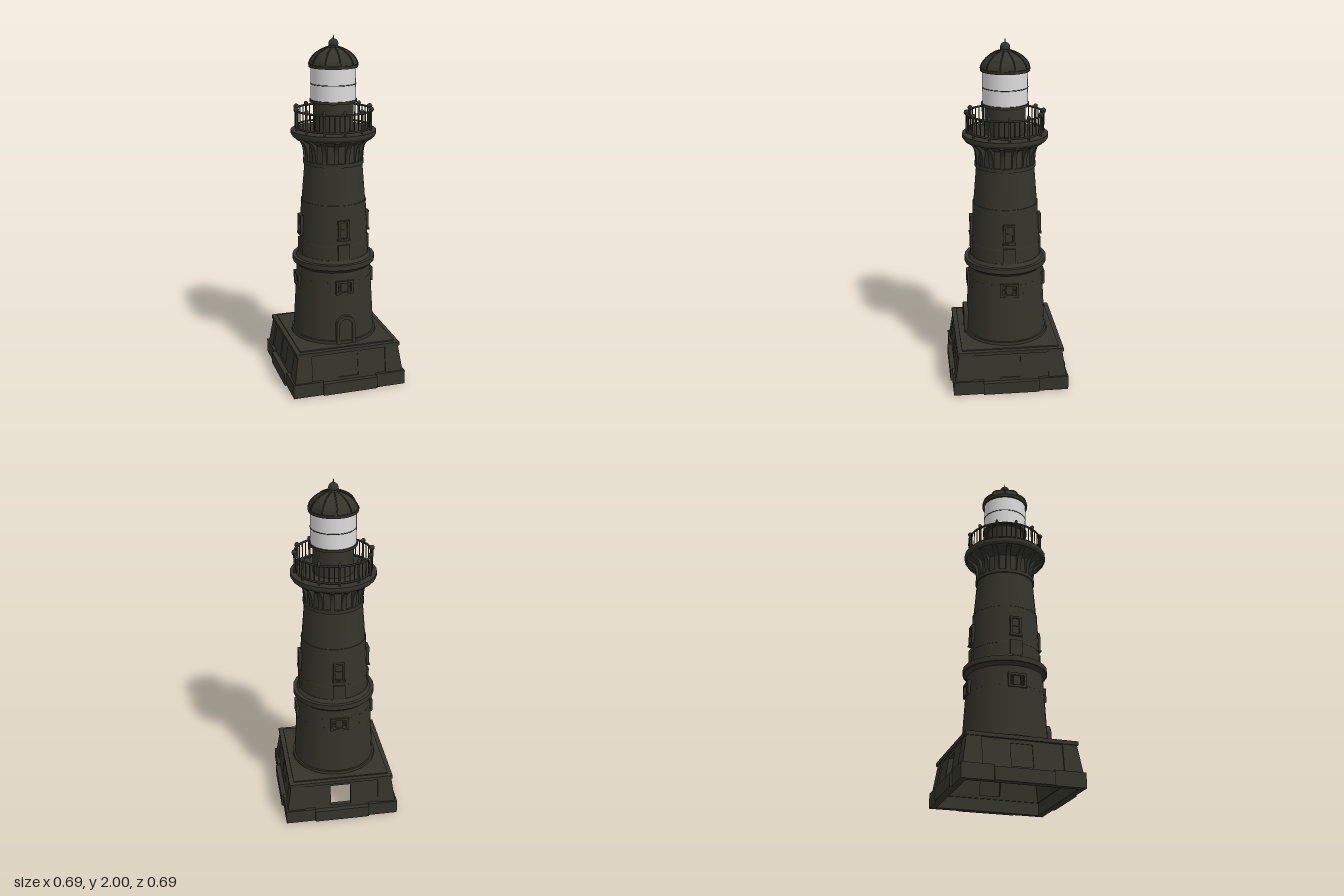
import * as THREE from 'three';

export function createModel() {
  const root = new THREE.Group();
  root.name = 'lighthouse';
  const stone = new THREE.MeshStandardMaterial({ color: 0x34342b, side: THREE.DoubleSide });
  stone.name = 'dark stone';
  const stoneFront = new THREE.MeshStandardMaterial({ color: 0x34342b });
  stoneFront.name = 'dark stone, outside only';
  const flatStone = new THREE.MeshStandardMaterial({ color: 0x34342b, flatShading: true });
  flatStone.name = 'dark stone, faceted';
  const glass = new THREE.MeshStandardMaterial({ color: 0xdcdcdc });
  glass.name = 'pale lantern glass';

  const add = (name, geo, mat = stone, parent = root) => {
    const m = new THREE.Mesh(geo, mat);
    m.name = name;
    parent.add(m);
    return m;
  };
  // box given by its bounds
  const box = (name, x0, x1, y0, y1, z0, z1, parent = root) => {
    const m = add(name, new THREE.BoxGeometry(x1 - x0, y1 - y0, z1 - z0), stoneFront, parent);
    m.position.set((x0 + x1) / 2, (y0 + y1) / 2, (z0 + z1) / 2);
    return m;
  };
  // round course from y0 to y1
  const drum = (name, r0, r1, y0, y1, mat = stoneFront, open = false, seg = 32) => {
    const m = add(name, new THREE.CylinderGeometry(r1, r0, y1 - y0, seg, 1, open), mat);
    m.position.y = (y0 + y1) / 2;
    return m;
  };
  const spin = (name, angle) => {
    const g = new THREE.Group();
    g.name = name;
    g.rotation.y = angle;
    root.add(g);
    return g;
  };
  // leans a flat panel back along the sloped base wall
  const lean = (geo, offset) => {
    const p = geo.attributes.position;
    for (let i = 0; i < p.count; i++) p.setZ(i, p.getZ(i) + offset - (p.getY(i) - 0.07) * 0.15);
    geo.computeVertexNormals();
    return geo;
  };
  const poly = (pts) => new THREE.Shape(pts.map(([x, y]) => new THREE.Vector2(x, y)));
  const extrude = (shape, depth) => new THREE.ExtrudeGeometry(shape, { depth, bevelEnabled: false, curveSegments: 10 });

  // Hollow square base, open underneath, with one open doorway at the back
  for (let i = 0; i < 4; i++) {
    const side = spin('baseSide', i * Math.PI / 2);
    const wall = poly([[-0.32, 0.07], [0.32, 0.07], [0.295, 0.237], [-0.295, 0.237]]);
    wall.holes.push(poly([[-0.065, 0.088], [-0.065, 0.215], [0.055, 0.215], [0.055, 0.088]]));
    add('baseWall', lean(extrude(wall, 0.025), 0.293), stoneFront, side);
    for (const s of [-1, 1]) {
      const pier = poly([[s * 0.22, 0.07], [s * 0.325, 0.07], [s * 0.3, 0.237], [s * 0.22, 0.237]]);
      add('cornerPier', lean(extrude(pier, 0.01), 0.316), stoneFront, side);
      box('plinthCorner', Math.min(s * 0.16, s * 0.335), Math.max(s * 0.16, s * 0.335), 0, 0.083, 0.3, 0.335, side);
    }
    box('plinthMiddle', -0.162, 0.162, 0, 0.072, 0.3, 0.346, side);
    if (i !== 2) {
      const panel = new THREE.PlaneGeometry(0.124, 0.132).translate(-0.005, 0.1515, 0);
      add('basePanel', lean(panel, 0.312), i === 0 ? stoneFront : stone, side);
    }
  }
  box('baseSlab', -0.308, 0.308, 0.235, 0.256, -0.308, 0.308);
  box('baseTop', -0.282, 0.282, 0.25, 0.263, -0.282, 0.282);

  // Tower shaft, with a band of four arcs that leaves the lower windows open
  const shaftRadius = (y) => 0.24 - (y - 0.27) * 0.058;
  drum('footRing', 0.252, 0.25, 0.26, 0.28);
  drum('lowerShaft', shaftRadius(0.28), shaftRadius(0.57), 0.28, 0.57, stone, true);
  const gap = 0.18;
  for (let i = 0; i < 4; i++) {
    const band = [[shaftRadius(0.57), 0.57], [shaftRadius(0.625), 0.625]].map(([x, y]) => new THREE.Vector2(x, y));
    add('windowBand', new THREE.LatheGeometry(band, 8, i * Math.PI / 2 + gap, Math.PI / 2 - 2 * gap));
  }
  drum('middleShaft', shaftRadius(0.625), shaftRadius(0.705), 0.625, 0.705, stone, true);
  drum('beltCove', 0.216, 0.234, 0.685, 0.707, stoneFront, true);
  drum('beltRing', 0.24, 0.24, 0.705, 0.735, stoneFront, false, 24);
  drum('beltStep', 0.218, 0.205, 0.735, 0.755);
  drum('upperShaft', 0.203, 0.187, 0.735, 1.07, stone, true);
  drum('topShaft', 0.184, 0.165, 1.07, 1.3, stone, true);
  drum('courseRing', 0.2, 0.198, 0.83, 0.842);
  drum('courseRing', 0.189, 0.188, 1.06, 1.072);
  drum('neckRing', 0.174, 0.174, 1.285, 1.307);
  drum('neck', 0.162, 0.158, 1.3, 1.45);

  // Windows on four sides
  for (let i = 0; i < 4; i++) {
    const g = spin('windowSide', i * Math.PI / 2);
    const frame = (name, w, y0, y1, t, z0, z1) => {
      const s = poly([[-w, y0], [w, y0], [w, y1], [-w, y1]]);
      s.holes.push(poly([[-w + t, y0 + t], [-w + t, y1 - t], [w - t, y1 - t], [w - t, y0 + t]]));
      add(name, extrude(s, z1 - z0), stoneFront, g).position.z = z0;
    };
    frame('lowerWindowFrame', 0.052, 0.557, 0.638, 0.013, 0.2, 0.229);
    box('lowerWindowMullion', -0.02, 0.02, 0.565, 0.63, 0.205, 0.218, g);
    box('lowerWindowBar', -0.045, 0.045, 0.594, 0.6, 0.207, 0.216, g);
    frame('upperWindowFrame', 0.032, 0.875, 0.988, 0.011, 0.18, 0.207);
    box('upperWindowPane', -0.024, 0.024, 0.885, 0.98, 0.17, 0.197, g);
    box('upperWindowBar', -0.024, 0.024, 0.93, 0.937, 0.18, 0.202, g);
    box('upperWindowSill', -0.037, 0.037, 0.87, 0.88, 0.18, 0.211, g);
    box('reliefPlate', -0.034, 0.036, 0.755, 0.845, 0.18, 0.206, g);
  }

  // Arched front door
  const arch = (w, top) => {
    const s = new THREE.Shape();
    s.moveTo(-w, 0.262);
    s.lineTo(w, 0.262);
    s.lineTo(w, top - w);
    s.absarc(0, top - w, w, 0, Math.PI, false);
    s.closePath();
    return s;
  };
  const surround = arch(0.056, 0.432);
  surround.holes.push(arch(0.038, 0.412));
  add('doorSurround', extrude(surround, 0.05), stoneFront).position.z = 0.203;
  add('door', extrude(arch(0.04, 0.414), 0.035), stoneFront).position.z = 0.208;

  // Curved brackets under the gallery
  const bracket = new THREE.Shape();
  bracket.moveTo(0.15, 1.3);
  bracket.lineTo(0.17, 1.3);
  bracket.bezierCurveTo(0.172, 1.385, 0.18, 1.41, 0.225, 1.432);
  bracket.lineTo(0.225, 1.445);
  bracket.lineTo(0.15, 1.445);
  bracket.closePath();
  const bracketGeo = extrude(bracket, 0.026).translate(0, 0, -0.013);
  for (let i = 0; i < 16; i++) add('bracket', bracketGeo, stoneFront).rotation.y = (i + 0.5) * Math.PI / 8;
  drum('galleryCove', 0.165, 0.225, 1.405, 1.445);
  drum('gallerySlab', 0.234, 0.243, 1.44, 1.455, stoneFront, false, 24);
  drum('galleryFloor', 0.243, 0.243, 1.455, 1.475, stoneFront, false, 24);

  // Railing: twelve round-headed posts, rails and thin balusters
  for (const y of [1.492, 1.588]) {
    const rail = add('rail', new THREE.TorusGeometry(0.216, 0.006, 6, 36), stoneFront);
    rail.rotation.x = Math.PI / 2;
    rail.position.y = y;
  }
  const postGeo = new THREE.CylinderGeometry(0.0065, 0.0065, 0.115, 8);
  const headGeo = new THREE.SphereGeometry(0.016, 10, 8);
  const balusterGeo = new THREE.CylinderGeometry(0.0032, 0.0032, 0.1, 6);
  for (let i = 0; i < 48; i++) {
    const g = spin('railing', i * Math.PI / 24);
    if (i % 4 === 0) {
      add('post', postGeo, stoneFront, g).position.set(0, 1.53, 0.216);
      const head = add('postHead', headGeo, stoneFront, g);
      head.position.set(0, 1.595, 0.216);
      head.scale.x = 0.55;
    } else add('baluster', balusterGeo, stoneFront, g).position.set(0, 1.54, 0.216);
  }

  // Lantern room
  drum('lanternBase', 0.116, 0.114, 1.475, 1.635);
  drum('lanternSill', 0.134, 0.134, 1.632, 1.647);
  drum('lanternGlass', 0.127, 0.127, 1.645, 1.83, glass);
  const band = add('glazingBar', new THREE.TorusGeometry(0.127, 0.0025, 5, 36), stoneFront);
  band.rotation.x = Math.PI / 2;
  band.position.y = 1.735;

  // Ribbed dome, ball and spike
  drum('roofRim', 0.137, 0.14, 1.825, 1.842);
  const domePts = [[0.137, 1.84], [0.129, 1.865], [0.108, 1.893], [0.08, 1.914], [0.045, 1.931], [0.022, 1.937]];
  add('dome', new THREE.LatheGeometry(domePts.map(([x, y]) => new THREE.Vector2(x, y)), 10), flatStone);
  const ribPath = new THREE.CatmullRomCurve3(domePts.map(([x, y]) => new THREE.Vector3(0, y, x)));
  const ribGeo = new THREE.TubeGeometry(ribPath, 12, 0.004, 5);
  for (let i = 0; i < 10; i++) add('domeRib', ribGeo, stoneFront).rotation.y = i * Math.PI / 5;
  drum('finialCollar', 0.034, 0.027, 1.93, 1.943, stoneFront, false, 16);
  add('finialBall', new THREE.SphereGeometry(0.028, 16, 10), stoneFront).position.y = 1.953;
  drum('spike', 0.005, 0.002, 1.97, 2.0, stoneFront, false, 8);

  return root;
}
